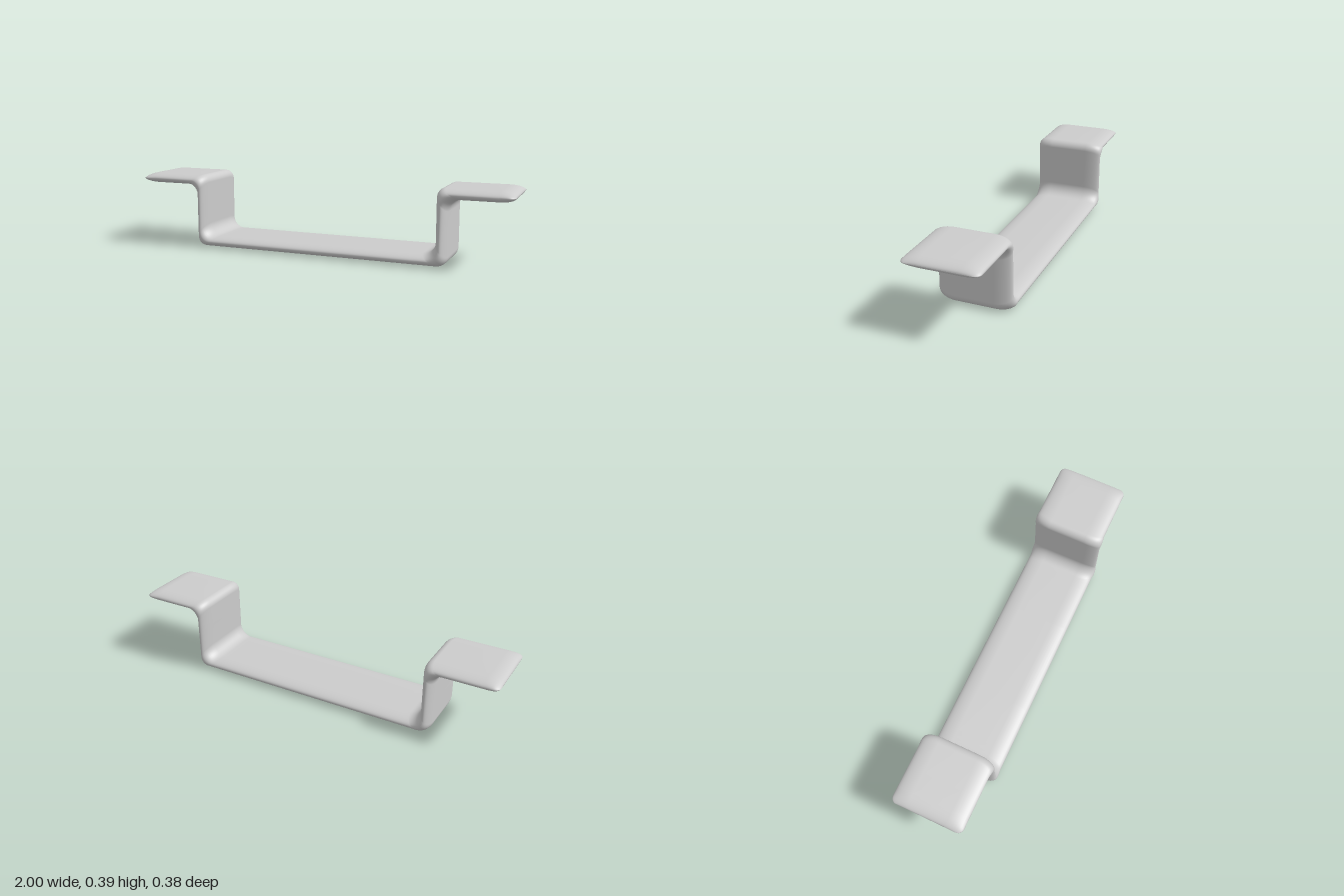
import * as THREE from 'three';

const FLAT = 0.1; // half width of the flat middle of the strip

// Matching points on the upper and lower skin of a rounded bend
function bend(out, upper, lower, a0, a1) {
  const n = 10;
  for (let i = 0; i <= n; i++) {
    const a = a0 + (a1 - a0) * i / n, c = Math.cos(a), s = Math.sin(a);
    out.push({
      ux: upper[0] + upper[2] * c, uy: upper[1] + upper[2] * s,
      lx: lower[0] + lower[2] * c, ly: lower[1] + lower[2] * s,
      w: 0.186 + 0.004 * Math.sin(Math.PI * i / n),
    });
  }
}

// Stations along the right-hand half, from the middle to the tip
function halfPath() {
  const out = [];
  for (const x of [0.25, 0.5, 0.54]) out.push({ ux: x, uy: 0.062, lx: x * 1.1, ly: 0.003, w: 0.186 });
  // floor to wall, then wall to flange: [centre x, centre y, radius]
  bend(out, [0.56, 0.127, 0.065], [0.635, 0.048, 0.045], -Math.PI / 2, 0);
  out.push({ ux: 0.625, uy: 0.24, lx: 0.68, ly: 0.16, w: 0.186 });
  bend(out, [0.665, 0.348, 0.04], [0.74, 0.273, 0.06], Math.PI, Math.PI / 2);
  out.push({ ux: 0.82, uy: 0.388, lx: 0.83, ly: 0.333, w: 0.186 });
  // tapered tip with rounded corners in plan
  const n = 12, r = 0.03;
  for (let i = 0; i <= n; i++) {
    const a = Math.PI / 2 * i / n, x = 0.925 + 0.075 * Math.sin(a);
    const d = Math.max(0, x - (1 - r)), t = 0.0275 * Math.cos(a);
    const w = 0.186 - r + Math.sqrt(Math.max(0, r * r - d * d));
    out.push({ ux: x, uy: 0.3605 + t, lx: x, ly: 0.3605 - t, w });
  }
  return out;
}

// Closed cross-section: z and t, where t runs from lower (-1) to upper (1) skin
function section() {
  const ring = [], n = 16;
  for (const [side, start] of [[1, -Math.PI / 2], [-1, Math.PI / 2]]) {
    for (let i = 0; i <= n; i++) {
      const a = start + Math.PI * i / n;
      ring.push([side * FLAT + 0.086 * Math.cos(a), Math.sin(a)]);
    }
    ring.push([0, side]);
  }
  return ring;
}

function stripGeometry() {
  const half = halfPath();
  const mirrored = half.map(p => ({ ...p, ux: -p.ux, lx: -p.lx })).reverse();
  const path = [...mirrored, ...half], ring = section(), m = ring.length;
  const pos = [], index = [];
  path.forEach((p, i) => {
    for (const [z, t] of ring) {
      const k = (t + 1) / 2;
      pos.push(p.lx + (p.ux - p.lx) * k, p.ly + (p.uy - p.ly) * k, z * p.w / 0.186);
    }
    if (i === path.length - 1) return;
    for (let j = 0; j < m; j++) {
      const a = i * m + j, b = i * m + (j + 1) % m;
      index.push(a, a + m, b, b, a + m, b + m);
    }
  });
  const g = new THREE.BufferGeometry();
  g.setAttribute('position', new THREE.Float32BufferAttribute(pos, 3));
  g.setIndex(index);
  g.computeVertexNormals();
  return g;
}

export function createModel() {
  const group = new THREE.Group();
  group.name = 'bracket';
  const grey = new THREE.MeshStandardMaterial({ color: 0xcccccc });
  grey.name = 'light grey';
  const strip = new THREE.Mesh(stripGeometry(), grey);
  strip.name = 'bentStrip';
  group.add(strip);
  return group;
}
